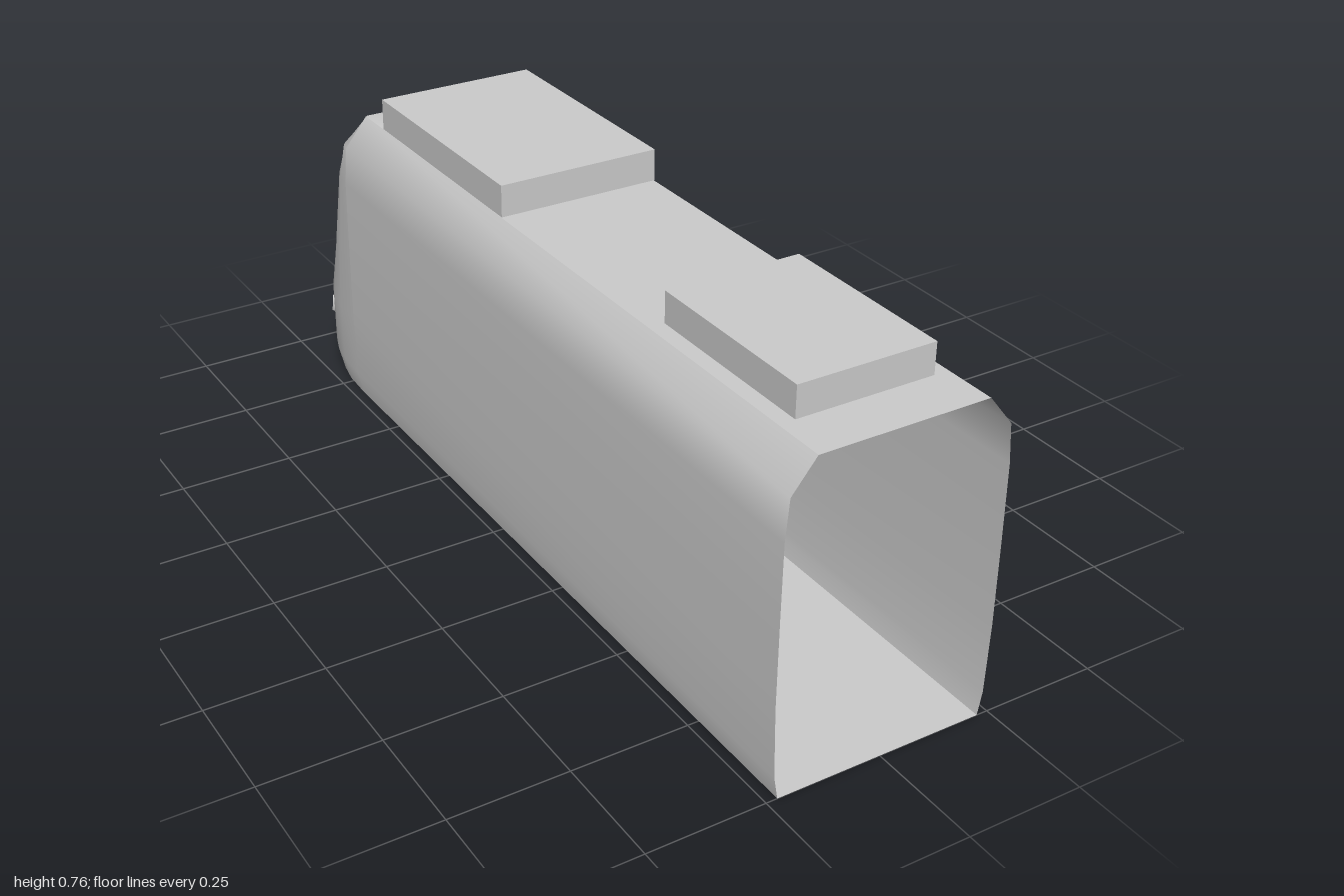
import * as THREE from 'three';

const shellGrey = new THREE.MeshStandardMaterial({ color: 0xcccccc, side: THREE.DoubleSide });
shellGrey.name = 'shellGrey';

// Wall levels: height, half width, z of the nose tip at that height
const LEVELS = [
  [0, 0.226, -0.97], [0.05, 0.235, -1.0], [0.2, 0.24, -0.985], [0.38, 0.24, -0.905],
  [0.54, 0.239, -0.83], [0.625, 0.232, -0.765], [0.69, 0.18, -0.691],
];
const FRONT = 1, SEAM = -0.69, ROOF = 0.69, POWER = 2.5;

// Smooth surface through rows of points; the columns run anticlockwise seen from outside
function gridGeometry(rows) {
  const n = rows[0].length, index = [];
  for (let i = 0; i < rows.length - 1; i++) {
    for (let j = 0; j < n - 1; j++) {
      const a = i * n + j;
      index.push(a, a + 1, a + n, a + 1, a + n + 1, a + n);
    }
  }
  const geometry = new THREE.BufferGeometry();
  geometry.setAttribute('position', new THREE.Float32BufferAttribute(rows.flat(2), 3));
  geometry.setIndex(index);
  geometry.computeVertexNormals();
  return geometry;
}

// Rounded plan of the nose at one level, from +x round the tip to -x
function noseRow([y, w, tip], steps = 16) {
  const row = [];
  for (let j = 0; j <= steps; j++) {
    const t = (j / steps) * Math.PI, c = Math.cos(t), s = Math.max(0, Math.sin(t));
    row.push([
      w * Math.sign(c) * Math.abs(c) ** (2 / POWER), y,
      SEAM + (tip - SEAM) * s ** (2 / POWER),
    ]);
  }
  return row;
}

export function createModel() {
  const group = new THREE.Group();
  const add = (name, geometry) => {
    const mesh = new THREE.Mesh(geometry, shellGrey);
    mesh.name = name;
    group.add(mesh);
    return mesh;
  };

  // Side walls, open at the front end
  for (const side of [1, -1]) {
    const ends = side > 0 ? [FRONT, SEAM] : [SEAM, FRONT];
    add(side > 0 ? 'leftWall' : 'rightWall',
      gridGeometry(LEVELS.map(([y, w]) => ends.map((z) => [side * w, y, z]))));
  }

  // Flat roof
  const roof = add('roof', new THREE.PlaneGeometry(0.36, FRONT - SEAM).rotateX(-Math.PI / 2));
  roof.position.set(0, ROOF, (FRONT + SEAM) / 2);

  // Floor following the rounded nose
  const w0 = LEVELS[0][1];
  const outline = [[w0, FRONT], ...noseRow(LEVELS[0]).map(([x, , z]) => [x, z]), [-w0, FRONT]];
  const floor = new THREE.Shape(outline.map(([x, z]) => new THREE.Vector2(x, z)));
  add('floor', new THREE.ShapeGeometry(floor).rotateX(Math.PI / 2));

  // Sloping nose
  add('nose', gridGeometry(LEVELS.map((level) => noseRow(level))));

  // Low fairing between the nose and the rear roof unit
  const hump = [[0.18, 0.69], [0.1, 0.712], [0, 0.717], [-0.1, 0.712], [-0.18, 0.69]];
  add('roofFairing', gridGeometry([
    hump.map(([x]) => [x, ROOF + 0.001, SEAM]),
    hump.map(([x, y]) => [x, y + 0.001, -0.59]),
  ]));

  // Roof units: half width, top, z range
  const units = [['rearRoofUnit', 0.18, 0.76, -0.6, -0.06], ['frontRoofUnit', 0.147, 0.757, 0.49, 0.89]];
  for (const [name, w, top, z0, z1] of units) {
    const bottom = ROOF + 0.001;
    const unit = add(name, new THREE.BoxGeometry(2 * w, top - bottom, z1 - z0));
    unit.position.set(0, (top + bottom) / 2, (z0 + z1) / 2);
  }

  // Five-sided lamps lying on the nose: name, x, z, radius, outward direction in x and z
  const lamps = [['headLamp', 0.178, -0.925, 0.03, 0.75, -0.66], ['markerLamp', 0.124, -0.97, 0.007, 0.45, -0.89]];
  for (const [name, x, z, r, nx, nz] of lamps) {
    for (const side of [1, -1]) {
      const lamp = add(name, new THREE.CylinderGeometry(r, r, 0.008, 5).rotateX(Math.PI / 2));
      lamp.position.set(side * x, 0.125, z);
      lamp.lookAt(side * (x + nx), 0.125, z + nz);
    }
  }
  return group;
}
